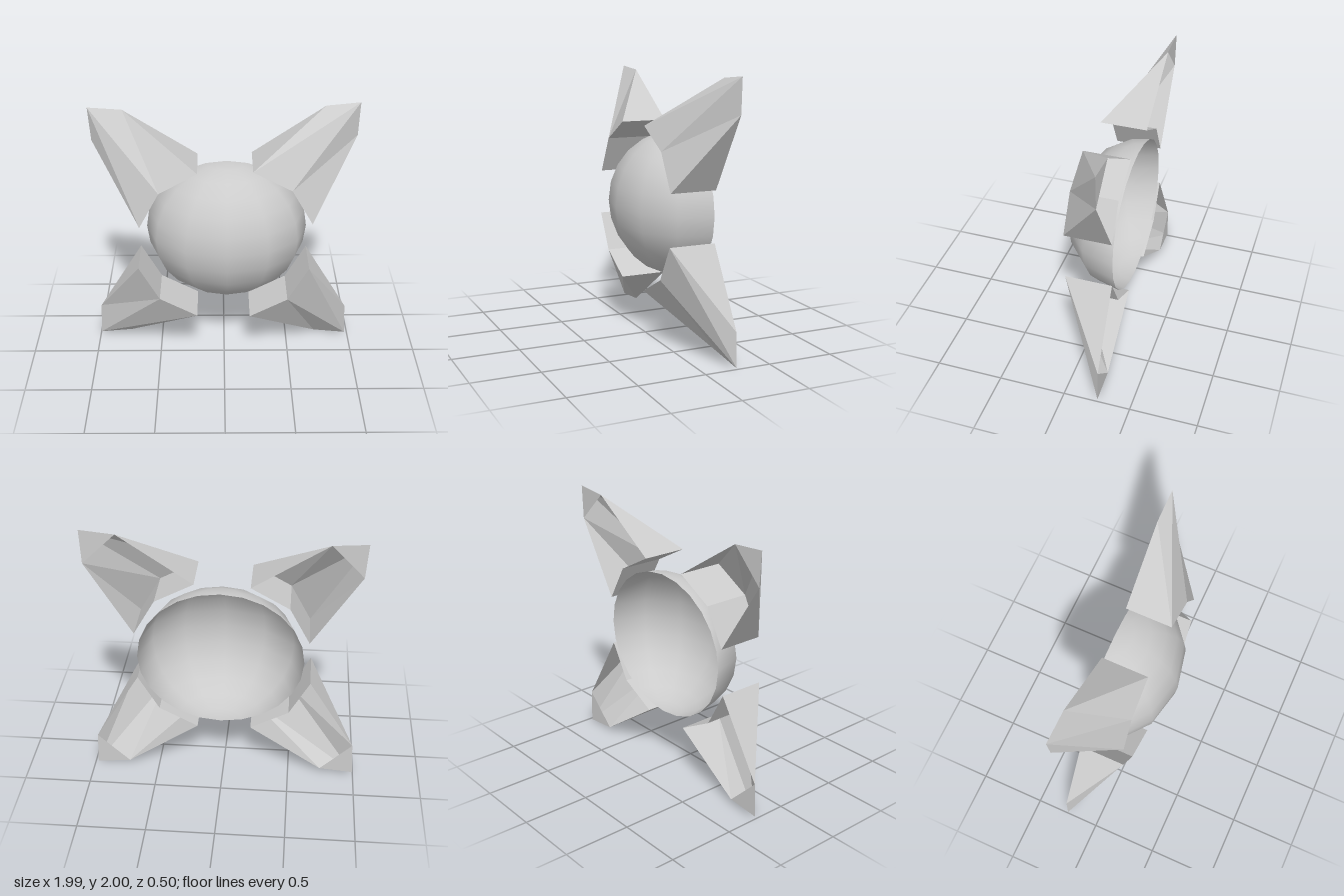
import * as THREE from 'three';

const BACK = -0.25;
const FRONT = 0.1;

// Spike outline in its own frame: tip at the origin, body running inward and down.
// Each entry is x, y, z.
const SPIKE = {
  tip: [0, 0, BACK],
  top: [-0.25, -0.025, BACK],
  side: [-0.01, -0.255, BACK],
  d: [-0.785, -0.39, FRONT], dBack: [-0.785, -0.39, BACK],
  e: [-0.345, -0.81, FRONT], eBack: [-0.345, -0.81, BACK],
  f: [-0.5, -0.54, FRONT], fBack: [-0.5, -0.54, BACK],
};

// Faces of the spike; the back is open apart from the small tip triangle.
const FACES = [
  ['d', 'f', 'tip', 'top'],      // upper slope
  ['f', 'e', 'side', 'tip'],     // lower slope
  ['top', 'dBack', 'd'],         // upper cheek
  ['e', 'eBack', 'side'],        // lower cheek
  ['d', 'dBack', 'fBack', 'f'],  // inner walls
  ['f', 'fBack', 'eBack', 'e'],
  ['tip', 'side', 'top'],        // back of the tip
];

// Mirrors the spike into a quadrant, with a slight twist about its tip.
function spikeGeometry(sx, sy, tipX, tipY, twist) {
  const place = (name) => {
    const [x, y, z] = SPIKE[name];
    const c = Math.cos(twist), s = Math.sin(twist);
    return [tipX + sx * (x * c + y * s), tipY + sy * (y * c - x * s), z];
  };
  const positions = [];
  for (const face of FACES) {
    const corners = face.map(place);
    if (sx * sy < 0) corners.reverse();
    for (let i = 1; i < corners.length - 1; i++) {
      positions.push(...corners[0], ...corners[i], ...corners[i + 1]);
    }
  }
  const geometry = new THREE.BufferGeometry();
  geometry.setAttribute('position', new THREE.Float32BufferAttribute(positions, 3));
  geometry.computeVertexNormals();
  return geometry;
}

export function createModel() {
  const model = new THREE.Group();
  model.name = 'domeWithSpikes';

  // Smooth half dome, hollow at the back
  const dome = new THREE.Mesh(
    new THREE.SphereGeometry(1, 6, 12, 0, Math.PI).scale(0.61, 0.545, 0.495),
    new THREE.MeshStandardMaterial({ color: 0xcccccc, side: THREE.DoubleSide })
  );
  dome.name = 'dome';
  dome.position.set(0.02, 0.995, BACK);
  model.add(dome);

  // Four corner spikes
  const spikeMaterial = new THREE.MeshStandardMaterial({
    color: 0xcccccc, flatShading: true, side: THREE.DoubleSide,
  });
  const spikes = [
    ['upperLeftSpike', 1, 1, 0.99, 2.0, 0],
    ['upperRightSpike', -1, 1, -0.99, 1.965, 0.03],
    ['lowerRightSpike', -1, -1, -0.995, 0.015, 0.01],
    ['lowerLeftSpike', 1, -1, 0.98, 0.0, 0],
  ];
  for (const [name, ...placing] of spikes) {
    const spike = new THREE.Mesh(spikeGeometry(...placing), spikeMaterial);
    spike.name = name;
    model.add(spike);
  }
  return model;
}
